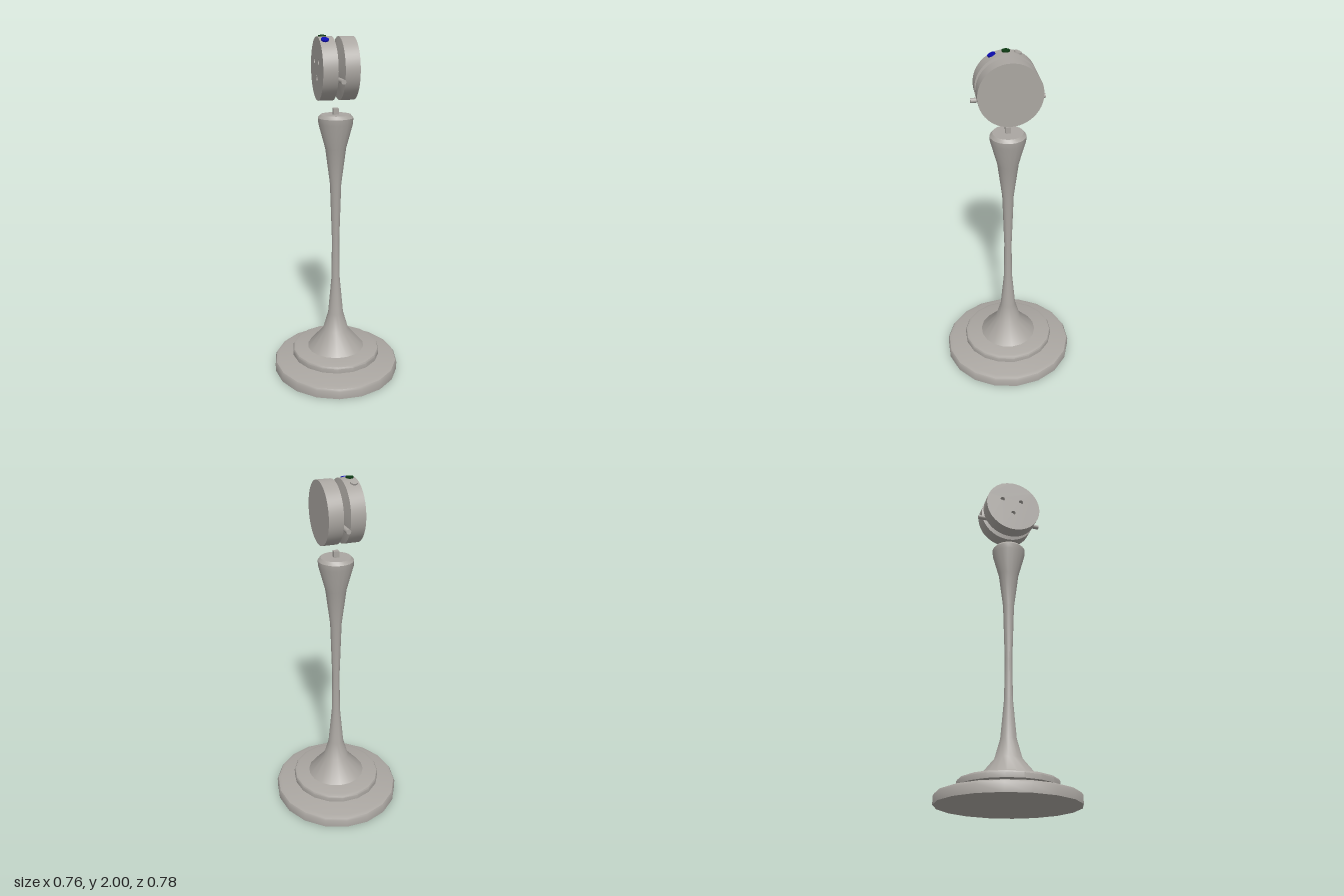
import * as THREE from 'three';
import { toCreasedNormals } from 'three/addons/utils/BufferGeometryUtils.js';

const mat = (name, color) => {
  const m = new THREE.MeshStandardMaterial({ color });
  m.name = name;
  return m;
};

export function createModel() {
  const root = new THREE.Group();
  root.name = 'pedestalStand';
  const grey = mat('warmGrey', 0xaaa6a1);
  const green = mat('darkGreen', 0x0c3a12);
  const blue = mat('deepBlue', 0x0b0bb0);

  const add = (parent, name, geometry, material = grey) => {
    const mesh = new THREE.Mesh(geometry, material);
    mesh.name = name;
    parent.add(mesh);
    return mesh;
  };
  // Turned part from [radius, height] pairs, with a corner on the x axis
  const turned = (points, sides) => toCreasedNormals(
    new THREE.LatheGeometry(points.map(([r, y]) => new THREE.Vector2(r, y)), sides, Math.PI / 2), 0.6);

  // Stepped base, slightly deeper than wide
  const base = new THREE.Group();
  base.name = 'base';
  base.scale.z = 1.047;
  root.add(base);
  add(base, 'lowerPlate', turned([[0, 0], [0.378, 0], [0.378, 0.045], [0.371, 0.058], [0.35, 0.066], [0, 0.066]], 18));
  add(base, 'baseNeck', turned([[0.18, 0.064], [0.18, 0.097]], 18));
  add(base, 'upperPlate', turned([[0, 0.095], [0.265, 0.095], [0.265, 0.122], [0.26, 0.131], [0.245, 0.137], [0, 0.137]], 18));

  // Flared column and the small peg on it
  add(root, 'column', turned([
    [0.173, 0.136], [0.077, 0.25], [0.046, 0.36], [0.025, 0.59], [0.022, 0.83],
    [0.033, 1.17], [0.06, 1.38], [0.098, 1.52], [0.1, 1.553], [0.085, 1.571], [0, 1.571],
  ], 18));
  add(root, 'peg', new THREE.BoxGeometry(0.03, 0.04, 0.03)).position.y = 1.586;

  // Drum head: local +y points to the model's right (-x), local x points up
  const head = new THREE.Group();
  head.name = 'head';
  head.position.y = 1.822;
  head.rotation.z = Math.PI / 2;
  root.add(head);
  const R = 0.171, face = 0.104;
  add(head, 'groovedDrum', turned([
    [0, -0.097], [R, -0.097], [R, -0.016], [0.08, 0.002], [R, 0.022], [R, face],
  ], 48));

  // End face with three round sockets: [up, z]
  const sockets = [[0.039, -0.07], [0.039, 0.05], [-0.05, 0]];
  const disc = new THREE.Shape().absarc(0, 0, R, 0, Math.PI * 2);
  for (const [u, z] of sockets) {
    disc.holes.push(new THREE.Path().absarc(u, -z, 0.014, 0, Math.PI * 2, true));
    const socket = add(head, 'socket', turned([[0.014, 0], [0.014, -0.025], [0, -0.025]], 24));
    socket.position.set(u, face, z);
  }
  const endFace = add(head, 'socketFace', new THREE.ShapeGeometry(disc, 24));
  endFace.rotation.x = -Math.PI / 2;
  endFace.position.y = face;

  // Row of buttons over the top of the drum
  const buttons = [['greyButton', grey, -0.38], ['greenButton', green, 0], ['blueButton', blue, 0.44]];
  for (const [name, material, angle] of buttons) {
    const button = add(root, name, new THREE.CylinderGeometry(0.021, 0.021, 0.02, 24), material);
    button.position.set(-0.075, 1.822 + Math.cos(angle) * 0.168, Math.sin(angle) * 0.168);
    button.rotation.x = angle;
  }

  // Cross pin through the groove
  const pin = add(root, 'crossPin', new THREE.CylinderGeometry(0.013, 0.013, 0.394, 16));
  pin.rotation.x = Math.PI / 2;
  pin.position.y = 1.769;

  return root;
}
